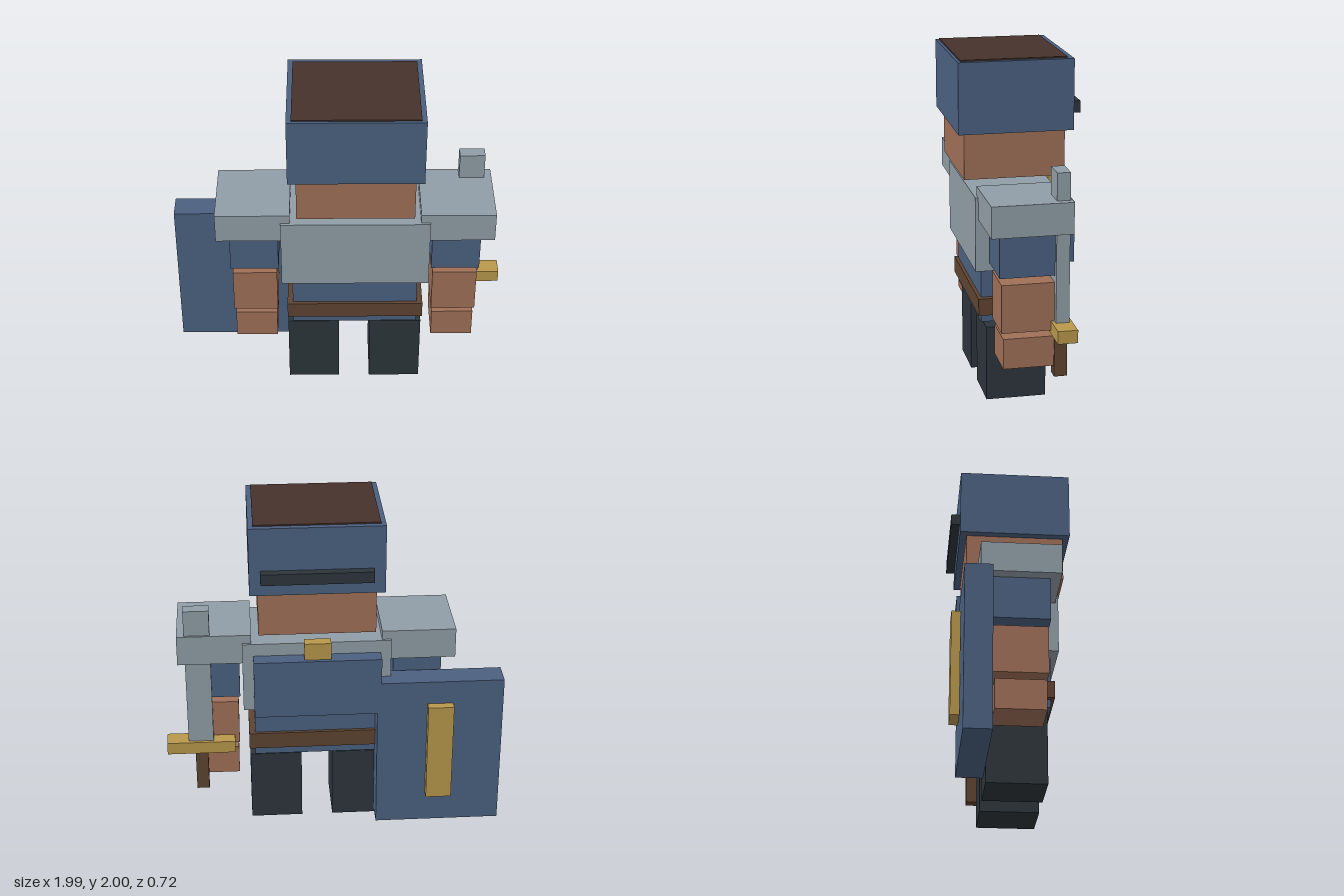
import * as THREE from 'three';

const palette = {
  blueCloth: 0x4b6181,
  skin: 0xa07058,
  steel: 0x919ea7,
  darkIron: 0x2d353b,
  leather: 0x5f4431,
  hairBrown: 0x46322b,
  gold: 0xb8984c,
};

export function createModel() {
  const model = new THREE.Group();
  model.name = 'blockKnight';

  const materials = {};
  for (const [name, color] of Object.entries(palette)) {
    materials[name] = new THREE.MeshStandardMaterial({ color });
    materials[name].name = name;
  }

  const group = (name) => {
    const g = new THREE.Group();
    g.name = name;
    model.add(g);
    return g;
  };

  // Box given by its [min, max] range on each axis
  const block = (parent, name, material, [x0, x1], [y0, y1], [z0, z1]) => {
    const mesh = new THREE.Mesh(new THREE.BoxGeometry(x1 - x0, y1 - y0, z1 - z0), materials[material]);
    mesh.position.set((x0 + x1) / 2, (y0 + y1) / 2, (z0 + z1) / 2);
    mesh.name = name;
    parent.add(mesh);
  };

  // Head, helmet and its top panel
  const head = group('head');
  block(head, 'face', 'skin', [-0.245, 0.432], [1.315, 1.6], [-0.257, 0.322]);
  block(head, 'helmet', 'blueCloth', [-0.292, 0.478], [1.585, 1.992], [-0.298, 0.36]);
  block(head, 'helmetTop', 'hairBrown', [-0.264, 0.45], [1.99, 2], [-0.264, 0.343]);
  block(head, 'helmetBar', 'darkIron', [-0.225, 0.415], [1.67, 1.737], [-0.35, -0.295]);

  // Torso
  const torso = group('torso');
  block(torso, 'chestArmor', 'steel', [-0.34, 0.528], [0.8, 1.235], [-0.215, 0.277]);
  block(torso, 'waist', 'blueCloth', [-0.278, 0.465], [0.472, 0.778], [-0.175, 0.235]);
  block(torso, 'belt', 'leather', [-0.31, 0.5], [0.522, 0.623], [-0.195, 0.255]);
  block(torso, 'backPanel', 'blueCloth', [-0.278, 0.465], [0.803, 1.162], [-0.312, -0.222]);
  block(torso, 'clasp', 'gold', [0.015, 0.17], [1.16, 1.265], [-0.29, -0.224]);

  // Arms and legs, mirrored about the body's own centre line
  const centre = 0.0935;
  for (const [side, sign] of [['left', 1], ['right', -1]]) {
    const span = (a, b) => [centre + sign * a, centre + sign * b].sort((p, q) => p - q);
    const arm = group(side + 'Arm');
    block(arm, 'shoulderPad', 'steel', span(0.38, 0.812), [1.107, 1.288], [-0.2, 0.26]);
    block(arm, 'upperArm', 'blueCloth', span(0.453, 0.738), [0.853, 1.107], [-0.14, 0.2]);
    block(arm, 'forearm', 'skin', span(0.464, 0.728), [0.528, 0.81], [-0.125, 0.187]);
    block(arm, 'hand', 'skin', span(0.47, 0.72), [0.313, 0.491], [-0.115, 0.176]);
    block(group(side + 'Leg'), 'leg', 'darkIron', span(0.093, 0.402), [0, 0.448], [-0.14, 0.21]);
  }

  // Sword behind the left hand
  const sword = group('sword');
  block(sword, 'blade', 'steel', [0.713, 0.862], [0.58, 1.445], [-0.188, -0.112]);
  block(sword, 'crossGuard', 'gold', [0.585, 0.99], [0.508, 0.583], [-0.207, -0.093]);
  block(sword, 'grip', 'leather', [0.75, 0.824], [0.25, 0.51], [-0.187, -0.113]);

  // Shield behind the right hand
  const shield = group('shield');
  block(shield, 'shieldBoard', 'blueCloth', [-1, -0.255], [0.043, 0.998], [-0.305, -0.15]);
  block(shield, 'shieldBar', 'gold', [-0.702, -0.55], [0.237, 0.855], [-0.36, -0.308]);

  return model;
}
